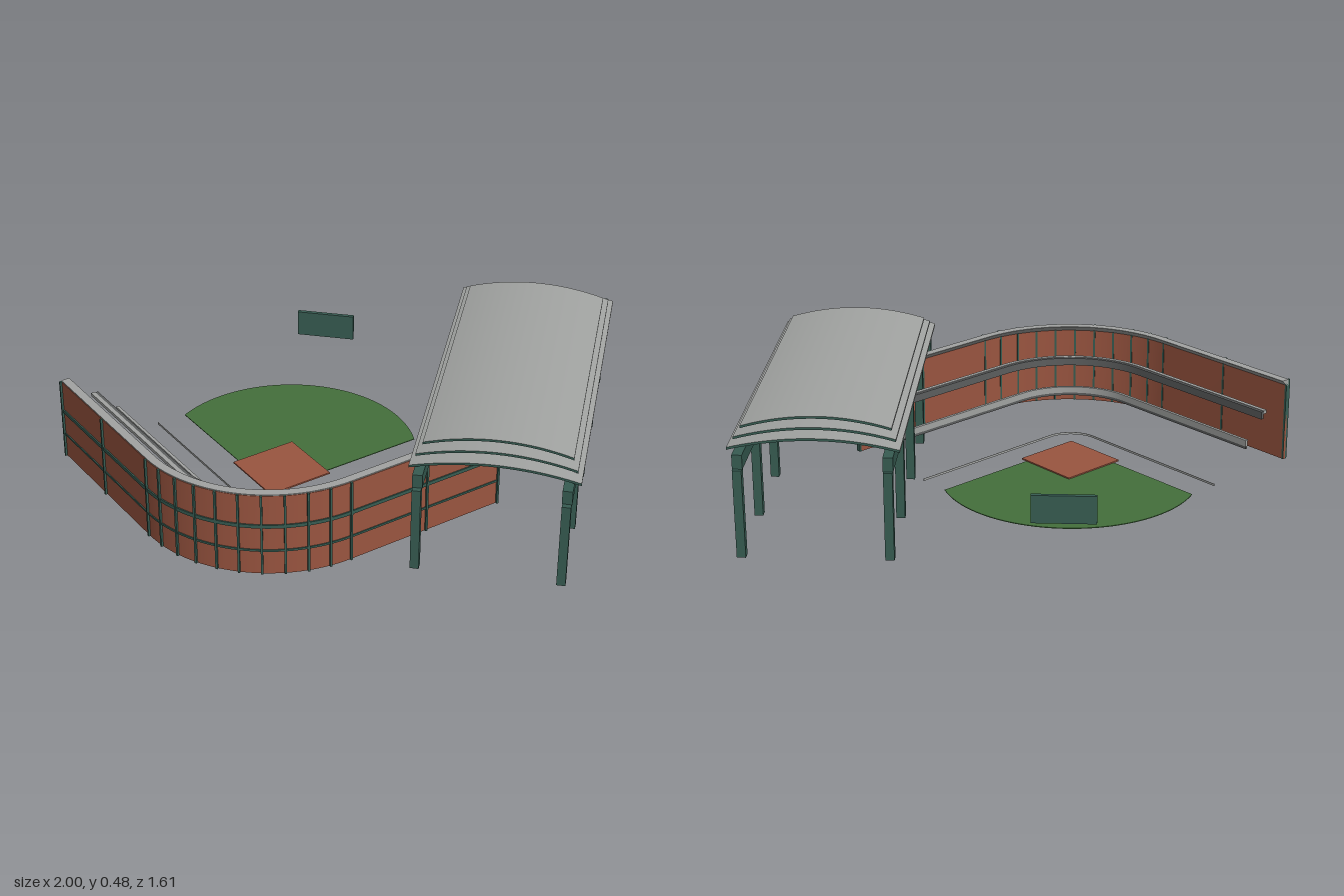
import * as THREE from 'three';
import { toCreasedNormals } from 'three/addons/utils/BufferGeometryUtils.js';

const mat = (name, color) => {
  const m = new THREE.MeshStandardMaterial({ color });
  m.name = name;
  return m;
};

export function createModel() {
  const root = new THREE.Group();
  root.name = 'ballpark';
  const brick = mat('brick', 0x9a5540);
  const green = mat('dark green steel', 0x375c52);
  const grey = mat('pale grey', 0xa2a4a2);
  const dark = mat('dark grey', 0x5c5e5e);
  const grass = mat('grass', 0x44703c);

  const add = (name, geometry, material, parent = root) => {
    const mesh = new THREE.Mesh(geometry, material);
    mesh.name = name;
    parent.add(mesh);
    return mesh;
  };
  const box = (name, x0, x1, y0, y1, z0, z1, material, parent) => {
    const m = add(name, new THREE.BoxGeometry(x1 - x0, y1 - y0, z1 - z0), material, parent);
    m.position.set((x0 + x1) / 2, (y0 + y1) / 2, (z0 + z1) / 2);
    return m;
  };

  // Grandstand plan: a 90 degree bend with two straight arms
  const CX = -0.163, CZ = 0.274, ARM = 0.657, Q = Math.PI / 4;
  const stations = [[-Q, -ARM]];
  for (let i = 0; i <= 30; i++) stations.push([-Q + (i * Q) / 15, 0]);
  stations.push([Q, ARM]);
  const place = (r, y, [a, s]) => [
    CX + Math.sin(a) * r + Math.cos(a) * s, y, CZ + Math.cos(a) * r - Math.sin(a) * s,
  ];

  // Sweep a closed [radius, height] section, counter-clockwise, along the plan
  function sweep(name, section, material, parent) {
    const pos = [];
    const n = section.length;
    const p = (i, j) => place(...section[j % n], stations[i]);
    const tri = (a, b, c) => pos.push(...a, ...b, ...c);
    const last = stations.length - 1;
    for (let i = 0; i < last; i++) {
      for (let j = 0; j < n; j++) {
        tri(p(i, j), p(i + 1, j), p(i + 1, j + 1));
        tri(p(i, j), p(i + 1, j + 1), p(i, j + 1));
      }
    }
    for (let j = 1; j < n - 1; j++) {
      tri(p(0, 0), p(0, j), p(0, j + 1));
      tri(p(last, 0), p(last, j + 1), p(last, j));
    }
    const g = new THREE.BufferGeometry();
    g.setAttribute('position', new THREE.Float32BufferAttribute(pos, 3));
    return add(name, toCreasedNormals(g, 0.5), material, parent);
  }
  const rect = (r0, r1, y0, y1) => [[r0, y0], [r1, y0], [r1, y1], [r0, y1]];

  const stand = new THREE.Group();
  stand.name = 'grandstand';
  root.add(stand);

  // Outer wall, rails and posts
  sweep('brickWall', rect(0.514, 0.524, 0, 0.326), brick, stand);
  sweep('upperRail', rect(0.52, 0.529, 0.194, 0.208), green, stand);
  sweep('lowerRail', rect(0.52, 0.528, 0.095, 0.103), green, stand);
  const posts = [[-Q, -ARM + 0.004], [-Q, -ARM / 2], [Q, ARM / 2], [Q, ARM - 0.004]];
  for (let i = -5; i <= 5; i++) posts.push([(i * Q) / 5, 0]);
  for (const st of posts) {
    const post = add('wallPost', new THREE.BoxGeometry(0.008, 0.328, 0.02), green, stand);
    post.position.set(...place(0.522, 0.164, st));
    post.rotation.y = st[0];
  }

  // Seating tiers, stepping down toward the field
  sweep('topLedge', [[0.489, 0.329], [0.515, 0.305], [0.522, 0.305], [0.522, 0.33], [0.489, 0.33]], grey, stand);
  sweep('upperTier', rect(0.386, 0.402, 0.222, 0.235), grey, stand);
  sweep('upperTierSeats', rect(0.373, 0.386, 0.203, 0.233), dark, stand);
  sweep('lowerTier', rect(0.288, 0.3, 0.115, 0.14), grey, stand);
  sweep('lowerTierBase', rect(0.289, 0.298, 0.104, 0.115), dark, stand);
  sweep('fieldKerb', rect(0.12, 0.1215, 0, 0.009), grey, stand);

  // Fan-shaped grass; shape y runs toward -z
  const arcZ = 0.024, arcR = 0.492, half = 0.46;
  const start = Math.atan2(0.19 - arcZ, half);
  const fan = new THREE.Shape();
  fan.moveTo(0, -0.268);
  fan.lineTo(half, 0.19);
  fan.absarc(0, arcZ, arcR, start, Math.PI - start, false);
  fan.lineTo(0, -0.268);
  const fieldGeo = new THREE.ExtrudeGeometry(fan, { depth: 0.003, bevelEnabled: false, curveSegments: 32 });
  const field = add('grassField', fieldGeo, grass);
  field.rotation.x = -Math.PI / 2;
  field.position.x = CX;

  // Infield dirt diamond
  const diamond = add('infieldDirt', new THREE.BoxGeometry(0.266, 0.006, 0.266), brick);
  diamond.position.set(CX, 0.005, 0.117);
  diamond.rotation.y = Q;

  box('scoreboard', -0.278, -0.046, 0.12, 0.225, -0.736, -0.72, green);

  // Arched canopy in three stacked sheets
  const canopy = new THREE.Group();
  canopy.name = 'canopy';
  root.add(canopy);
  const sheets = [
    [0.3, 0.392, 0.43, -0.755, 0.597],
    [0.283, 0.416, 0.456, -0.717, 0.557],
    [0.264, 0.442, 0.482, -0.678, 0.518],
  ];
  for (const [w, edge, crown, z0, z1] of sheets) {
    const curve = (x, drop) => new THREE.Vector2(x, crown - (crown - edge) * (x / w) ** 2 - drop);
    const pts = [];
    for (let i = 0; i <= 24; i++) pts.push(curve(-w + (i * w) / 12, 0.009));
    for (let i = 24; i >= 0; i--) pts.push(curve(-w + (i * w) / 12, 0));
    const g = new THREE.ExtrudeGeometry(new THREE.Shape(pts), { depth: z1 - z0, bevelEnabled: false });
    const sheet = add('roofSheet', toCreasedNormals(g, 0.5), [green, grey], canopy);
    sheet.position.set(0.7, 0, z0);
  }

  // Canopy beams and columns
  for (const x of [0.438, 0.957]) {
    box('roofBeam', x - 0.018, x + 0.018, 0.327, 0.38, -0.794, 0.636, green, canopy);
    for (let i = 0; i < 5; i++) {
      const z = 0.641 - i * 0.3583;
      box('column', x - 0.016, x + 0.016, 0, i % 4 ? 0.33 : 0.328, z - 0.016, z + 0.016, green, canopy);
    }
  }
  return root;
}
